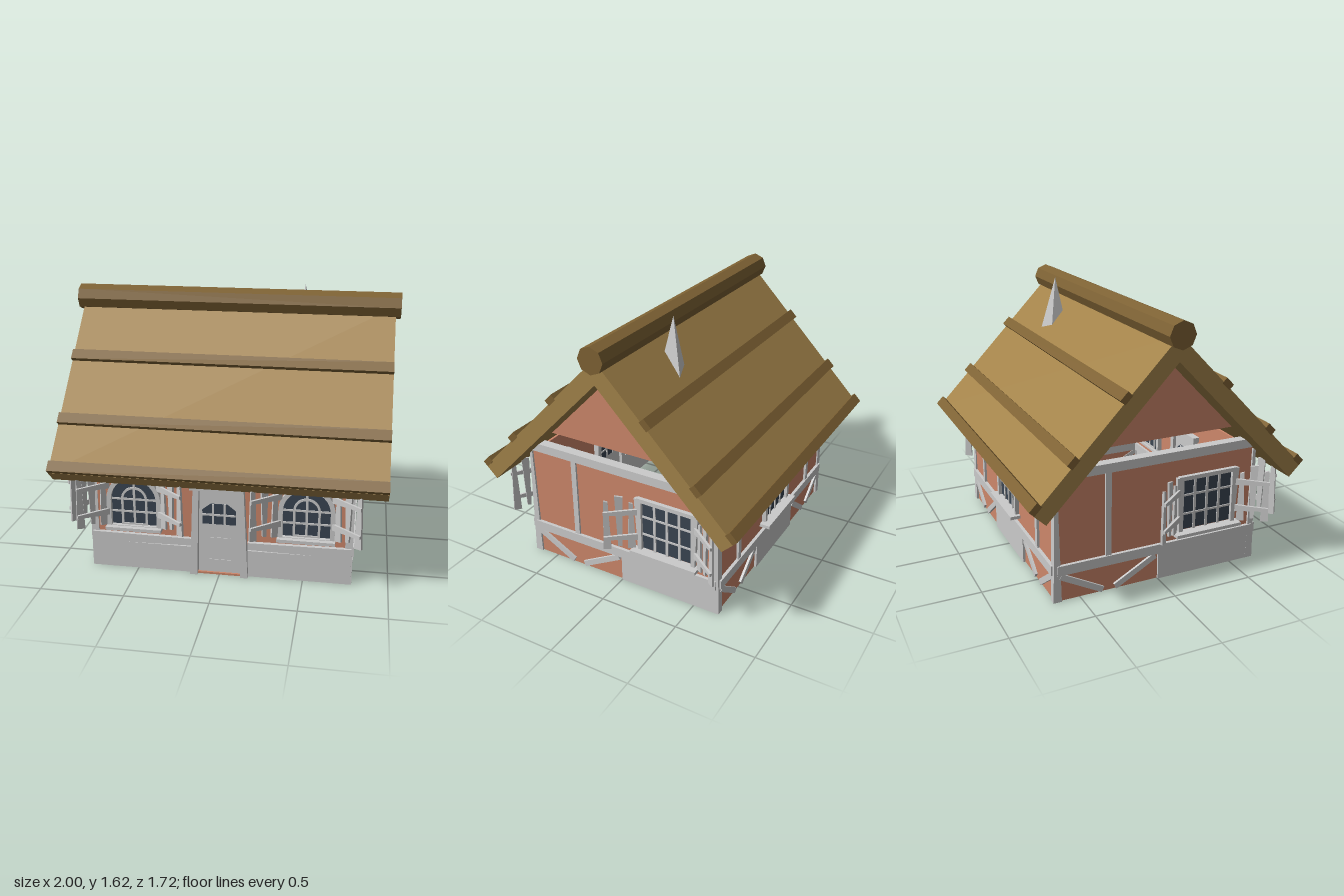
import * as THREE from 'three';
import { ConvexGeometry } from 'three/addons/geometries/ConvexGeometry.js';

const mat = (color) => new THREE.MeshStandardMaterial({ color, flatShading: true, side: THREE.DoubleSide });
const GREY = mat(0xcccccc);
const STONE = GREY;
const PLASTER = mat(0xcd876b);
const GLASS = mat(0x3a4552);
const THATCH = mat(0xa3834a);
const BATTEN = mat(0x7e6234);

function add(parent, name, geo, material, x = 0, y = 0, z = 0) {
  const m = new THREE.Mesh(geo, material);
  m.name = name;
  m.position.set(x, y, z);
  parent.add(m);
  return m;
}

// Box given by its x and y ranges, centred in depth on z
function slab(parent, name, x0, x1, y0, y1, depth, material = GREY, z = 0) {
  return add(parent, name, new THREE.BoxGeometry(x1 - x0, y1 - y0, depth), material, (x0 + x1) / 2, (y0 + y1) / 2, z);
}

// Flat polygon extruded and centred in depth
function plate(parent, name, shape, depth, material = GREY, z = 0) {
  const s = Array.isArray(shape) ? new THREE.Shape(shape.map((p) => new THREE.Vector2(...p))) : shape;
  const g = new THREE.ExtrudeGeometry(s, { depth, bevelEnabled: false, curveSegments: 8 });
  return add(parent, name, g.translate(0, 0, -depth / 2), material, 0, 0, z);
}

// Straight timber between two points of a wall
function brace(parent, x0, y0, x1, y1, w) {
  const m = add(parent, 'brace', new THREE.BoxGeometry(Math.hypot(x1 - x0, y1 - y0), w, 0.04), GREY, (x0 + x1) / 2, (y0 + y1) / 2, 0.005);
  m.rotation.z = Math.atan2(y1 - y0, x1 - x0);
}

// V-shaped pair of braces filling a low panel
function vBrace(parent, x0, x1) {
  const c = (x0 + x1) / 2;
  brace(parent, x0 + 0.02, 0.16, c - 0.04, 0.018, 0.036);
  brace(parent, x1 - 0.02, 0.16, c + 0.04, 0.018, 0.036);
}

// Rough plank shutter, hinged at x and swung outward
function shutter(parent, x, side) {
  const g = new THREE.Group();
  g.name = 'shutter';
  g.position.set(x, 0, 0.02);
  g.rotation.y = side > 0 ? -0.62 : Math.PI + 0.62;
  [[0.035, 0.024, 0.012, 0.28, 0.6], [0.105, 0.012, 0.024, 0.3, 0.65], [0.18, 0.024, 0.013, 0.285, 0.62]].forEach(([c, b, t, y0, y1]) =>
    plate(g, 'shutterPlank', [[c - b, y0], [c + b, y0 + 0.005], [c + t, y1], [c - t, y1 - 0.01]], 0.014));
  [0.37, 0.54].forEach((y) =>
    plate(g, 'shutterBar', [[0, y - 0.02], [0.2, y - 0.01], [0.2, y + 0.01], [0, y + 0.02]], 0.014, GREY, side * 0.014));
  parent.add(g);
}

// Square window with mullions and a sill
function squareWindow(parent, cx, hw) {
  const g = new THREE.Group();
  g.name = 'squareWindow';
  g.position.x = cx;
  slab(g, 'glass', -hw, hw, 0.29, 0.615, 0.03, GLASS);
  [-1, 1].forEach((s) => plate(g, 'jamb',
    [[s * hw, 0.27], [s * (hw + 0.025), 0.27], [s * (hw + 0.045), 0.63], [s * hw, 0.63]], 0.07));
  slab(g, 'lintel', -hw - 0.03, hw + 0.03, 0.61, 0.635, 0.07);
  slab(g, 'sill', -hw - 0.06, hw + 0.05, 0.265, 0.285, 0.11, GREY, 0.02);
  [-0.5, 0, 0.5].forEach((f) => slab(g, 'mullion', f * hw - 0.008, f * hw + 0.008, 0.285, 0.615, 0.042));
  [0.39, 0.51].forEach((y) => slab(g, 'crossbar', -hw, hw, y - 0.006, y + 0.006, 0.042));
  parent.add(g);
}

function archShape(Type, hw, y0, spring) {
  const s = new Type();
  s.moveTo(-hw, y0);
  s.lineTo(hw, y0);
  s.lineTo(hw, spring);
  s.absarc(0, spring, hw, 0, Math.PI, false);
  s.lineTo(-hw, y0);
  return s;
}

// Round-topped window with an inner arch
function archWindow(parent, cx) {
  const g = new THREE.Group();
  g.name = 'archWindow';
  g.position.x = cx;
  plate(g, 'glass', archShape(THREE.Shape, 0.14, 0.285, 0.45), 0.03, GLASS);
  [[0.165, 0.138, 0.27, 0.08], [0.08, 0.066, 0.28, 0.045]].forEach(([o, i, y, d]) => {
    const ring = archShape(THREE.Shape, o, y, 0.45);
    ring.holes.push(archShape(THREE.Path, i, y + 0.015, 0.45));
    plate(g, 'archFrame', ring, d);
  });
  [0.37, 0.45].forEach((y) => slab(g, 'crossbar', -0.14, 0.14, y - 0.006, y + 0.006, 0.04));
  slab(g, 'mullion', -0.007, 0.007, 0.29, 0.58, 0.04);
  slab(g, 'sill', -0.17, 0.17, 0.262, 0.282, 0.1, GREY, 0.02);
  parent.add(g);
}

function door(parent) {
  const g = new THREE.Group();
  g.name = 'door';
  slab(g, 'doorLeaf', -0.125, 0.125, 0.01, 0.55, 0.045);
  [-1, 1].forEach((s) => plate(g, 'doorJamb',
    [[s * 0.13, 0], [s * 0.175, 0], [s * 0.15, 0.57], [s * 0.115, 0.57]], 0.1, GREY, 0.005));
  slab(g, 'doorLintel', -0.17, 0.15, 0.55, 0.585, 0.11);
  slab(g, 'threshold', -0.14, 0.14, 0, 0.012, 0.07, PLASTER);
  const pane = [[-0.1, 0.33], [0.1, 0.33], [0.1, 0.42], [0.05, 0.46], [-0.05, 0.46], [-0.1, 0.42]];
  plate(g, 'doorGlass', pane, 0.055, GLASS);
  [-0.035, 0.035].forEach((x) => slab(g, 'doorMullion', x - 0.006, x + 0.006, 0.33, 0.46, 0.065));
  slab(g, 'doorCrossbar', -0.1, 0.1, 0.385, 0.397, 0.065);
  [0.09, 0.235].forEach((y) => slab(g, 'doorGroove', -0.06, 0.07, y, y + 0.006, 0.052));
  parent.add(g);
}

// Empty wall frame, facing outward along its own +z
function wall(root, name, angle, dist) {
  const g = new THREE.Group();
  g.name = name;
  g.rotation.y = angle;
  g.position.set(Math.sin(angle) * dist, 0, Math.cos(angle) * dist);
  root.add(g);
  return g;
}

export function createModel() {
  const root = new THREE.Group();
  root.name = 'cottage';

  // Front wall: door, two arched windows, stone plinths
  const front = wall(root, 'frontWall', 0, 0.64);
  slab(front, 'plaster', -0.77, 0.77, 0, 0.72, 0.02, PLASTER);
  door(front);
  [-1, 1].forEach((s) => {
    const c = s * 0.475;
    slab(front, 'plinth', c - 0.305, c + 0.305, 0, 0.17, 0.04, STONE, 0.008);
    plate(front, 'plinthBeam', [[s * 0.17, 0.18], [s * 0.78, 0.17], [s * 0.78, 0.23], [s * 0.17, 0.225]], 0.06, GREY, 0.004);
    archWindow(front, s * 0.515);
    [-1, 1].forEach((k) => shutter(front, s * 0.515 + k * 0.155, k));
  });

  // Back wall: one window between two posts, braced corners
  const back = wall(root, 'backWall', Math.PI, 0.64);
  slab(back, 'plaster', -0.77, 0.77, 0, 0.72, 0.02, PLASTER);
  slab(back, 'plinth', -0.27, 0.27, 0, 0.17, 0.04, STONE, 0.005);
  slab(back, 'midBeam', -0.77, 0.77, 0.17, 0.23, 0.05, GREY, 0.005);
  squareWindow(back, 0, 0.15);
  [-1, 1].forEach((s) => {
    slab(back, 'post', s * 0.52 - 0.017, s * 0.52 + 0.017, 0.23, 0.72, 0.04, GREY, 0.005);
    vBrace(back, s > 0 ? 0.27 : -0.77, s > 0 ? 0.77 : -0.27);
  });

  // End walls: the same wall turned half round
  [-1, 1].forEach((s) => {
    const end = wall(root, s > 0 ? 'leftWall' : 'rightWall', s * Math.PI / 2, 0.765);
    slab(end, 'plaster', -0.64, 0.64, 0, 0.76, 0.02, PLASTER);
    slab(end, 'plinth', 0, 0.66, 0, 0.17, 0.04, STONE, 0.002);
    slab(end, 'midBeam', -0.64, 0.645, 0.17, 0.23, 0.05, GREY, 0.005);
    slab(end, 'topBeam', -0.65, 0.65, 0.745, 0.8, 0.06);
    slab(end, 'post', -0.34, -0.305, 0.23, 0.75, 0.04, GREY, 0.003);
    vBrace(end, -0.64, 0);
    squareWindow(end, 0.32, 0.165);
    [-1, 1].forEach((k) => shutter(end, 0.32 + k * 0.2, k));
    plate(end, 'gable', [[-0.49, 0.88], [0.49, 0.88], [0, 1.386]], 0.01, PLASTER, -0.015);
    // Corner posts, leaning slightly inward
    [-1, 1].forEach((k) => plate(end, 'cornerPost',
      [[k * 0.615, 0], [k * 0.665, 0], [k * 0.648, 0.73], [k * 0.63, 0.73]], 0.045, GREY, 0));
  });

  // Roof: one folded slab, battens on both slopes and a ridge log
  const section = [[0, 1.385], [0.765, 0.595], [0.837, 0.665], [0, 1.53], [-0.837, 0.665], [-0.765, 0.595]];
  plate(root, 'roof', section, 1.94, THATCH).rotation.y = Math.PI / 2;
  [0, Math.PI].forEach((turn) => {
    const slope = new THREE.Group();
    slope.name = 'roofBattens';
    slope.rotation.y = turn;
    [0.3, 0.6, 0.814].forEach((z) => {
      const b = add(slope, 'batten', new THREE.BoxGeometry(1.942, 0.04, 0.065), BATTEN, 0, 1.537 - 1.033 * z, z + 0.007);
      b.rotation.x = 0.8;
    });
    root.add(slope);
  });
  const ridge = add(root, 'ridgeLog', new THREE.CylinderGeometry(0.08, 0.08, 2, 8), BATTEN, 0, 1.535, 0);
  ridge.rotation.z = Math.PI / 2;

  // Crooked stone spike on the back slope
  const spike = [[0.36, 1.29, -0.205], [0.48, 1.26, -0.24], [0.44, 1.4, -0.11], [0.38, 1.4, -0.115], [0.41, 1.625, -0.155]];
  add(root, 'roofSpike', new ConvexGeometry(spike.map((p) => new THREE.Vector3(...p))), GREY);

  return root;
}
